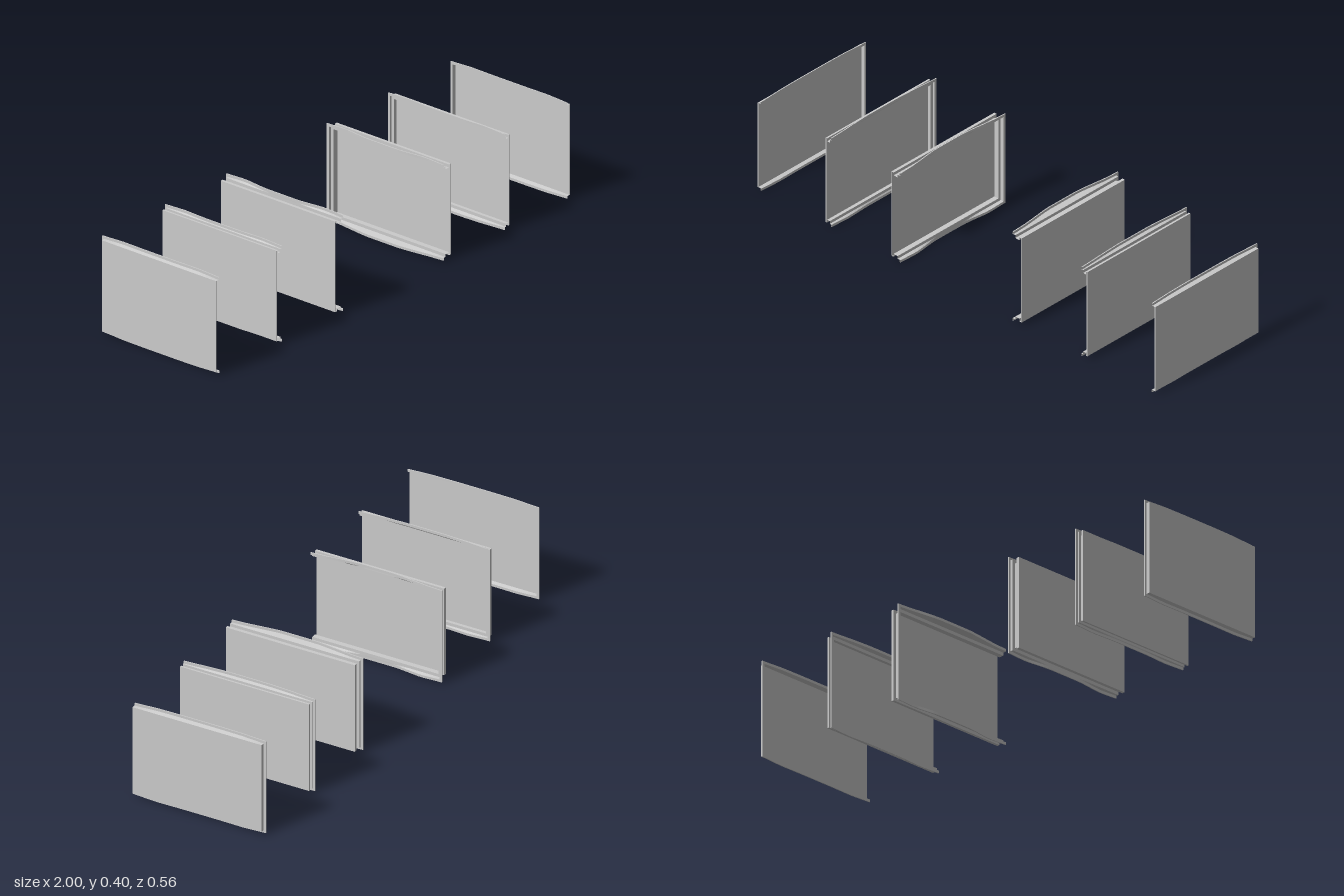
import * as THREE from 'three';

const FRONT = 0.278, BACK = -0.268, BOTTOM = 0.015, TOP = 0.38;

const material = () => new THREE.MeshStandardMaterial({
  color: 0xcccccc, flatShading: true, side: THREE.DoubleSide,
});

// Eased swelling along the length: 0 near both ends, 1 in the middle
const swell = (z) => 1 - THREE.MathUtils.smoothstep(Math.abs(z), 0.06, 0.22);

// Path around the open tray: bottom edge, back edge, top edge
function framePath() {
  const path = [], steps = 24;
  for (let i = 0; i <= steps; i++) {
    path.push({ z: FRONT + (BACK - FRONT) * i / steps, y: BOTTOM, oy: -1, oz: i === steps ? -1 : 0 });
  }
  for (let i = steps; i >= 0; i--) {
    path.push({ z: FRONT + (BACK - FRONT) * i / steps, y: TOP, oy: 1, oz: i === steps ? -1 : 0 });
  }
  return path;
}

// Sweep a profile of [depth, outward offset, bend] around the tray
function sweepFrame(profile, side, outerX, bend) {
  const positions = [], indices = [], path = framePath(), n = profile.length;
  for (const p of path) {
    const s = swell(p.z);
    const edge = 1 - THREE.MathUtils.clamp((Math.abs(p.z) - 0.18) / 0.1, 0, 1);
    for (const [depth, out, b] of profile) {
      positions.push(
        side * (outerX - depth) - bend * s * b,
        p.y + p.oy * (out + 0.005 * edge * b),
        p.z + p.oz * out,
      );
    }
  }
  for (let i = 0; i < path.length - 1; i++) {
    for (let j = 0; j < n - 1; j++) {
      const a = i * n + j, c = a + n;
      indices.push(a, c, a + 1, a + 1, c, c + 1);
    }
  }
  const geometry = new THREE.BufferGeometry();
  geometry.setAttribute('position', new THREE.Float32BufferAttribute(positions, 3));
  geometry.setIndex(indices);
  geometry.computeVertexNormals();
  return geometry;
}

function makePanel({ name, outerX, depth, bend, grooved }, side) {
  const panel = new THREE.Group();
  panel.name = (side > 0 ? 'left' : 'right') + name;

  // Flat outer skin
  const thickness = 0.003;
  const skin = new THREE.Mesh(
    new THREE.BoxGeometry(thickness, TOP - BOTTOM, FRONT - BACK), material());
  skin.name = 'skin';
  skin.position.set(side * (outerX - thickness / 2), (TOP + BOTTOM) / 2, (FRONT + BACK) / 2);
  panel.add(skin);

  // Side wall, with a channel folded into the deeper panels
  const groove = grooved
    ? [[depth * 0.25, 0, 0], [depth * 0.25, -0.012, 0], [depth * 0.7, -0.012, 0], [depth * 0.7, 0, 0]]
    : [];
  const wall = new THREE.Mesh(
    sweepFrame([[0, 0, 0], ...groove, [depth, 0, 1]], side, outerX, bend), material());
  wall.name = 'wall';

  // Outward lip that bows along its length
  const lip = new THREE.Mesh(
    sweepFrame([[depth - 0.004, 0, 1], [depth - 0.004, 0.01, 1], [depth, 0.01, 1], [depth, 0, 1]],
      side, outerX, bend), material());
  lip.name = 'lip';
  panel.add(wall, lip);
  return panel;
}

export function createModel() {
  const model = new THREE.Group();
  model.name = 'panelSet';
  const panels = [
    { name: 'OuterPanel', outerX: 1, depth: 0.018, bend: 0.002, grooved: false },
    { name: 'MiddlePanel', outerX: 0.658, depth: 0.03, bend: 0.006, grooved: true },
    { name: 'InnerPanel', outerX: 0.328, depth: 0.046, bend: 0.014, grooved: true },
  ];
  for (const spec of panels) {
    for (const side of [-1, 1]) model.add(makePanel(spec, side));
  }
  return model;
}
